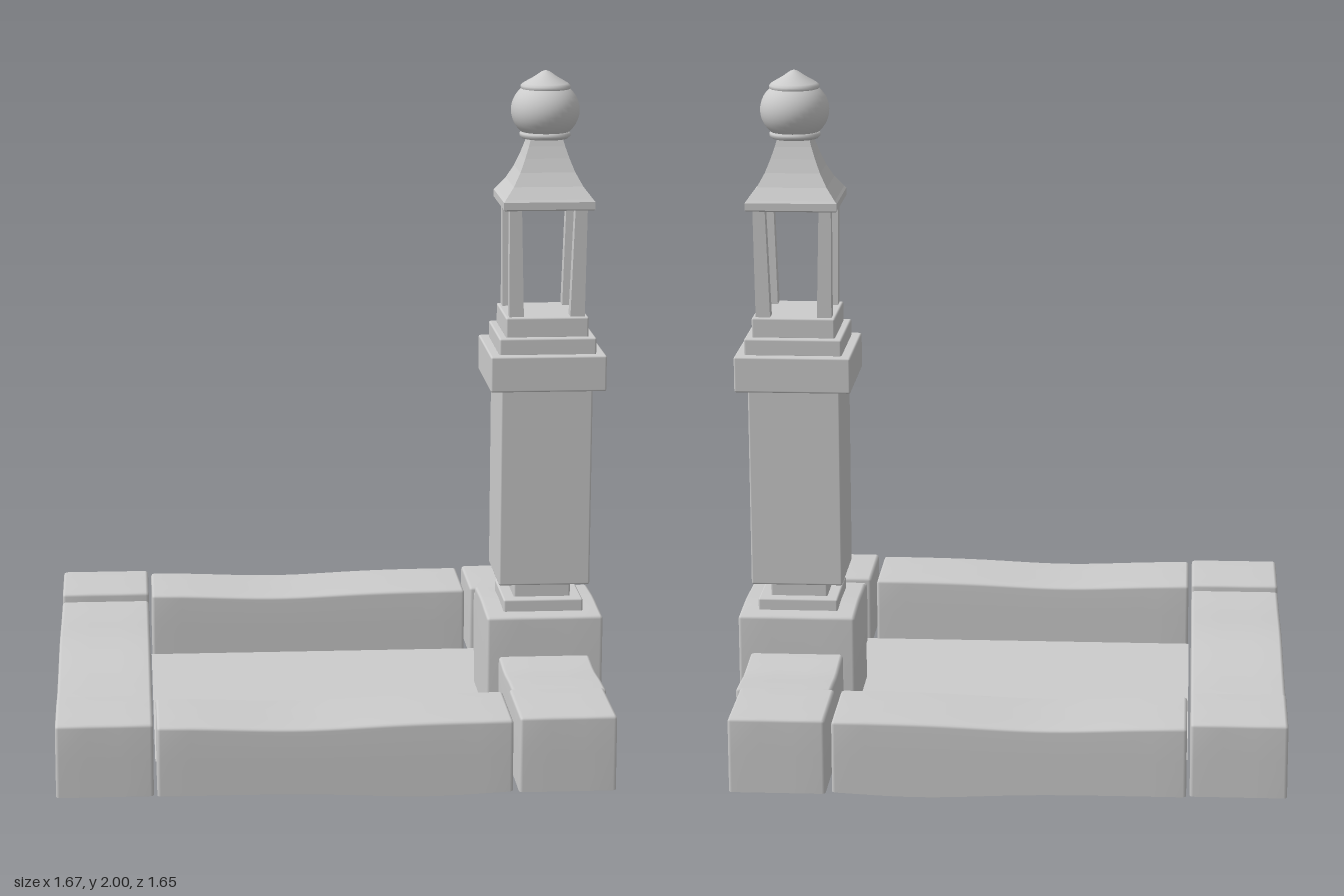
import * as THREE from 'three';
import { mergeVertices } from 'three/addons/utils/BufferGeometryUtils.js';
import { RoundedBoxGeometry } from 'three/addons/geometries/RoundedBoxGeometry.js';

const stoneMat = new THREE.MeshStandardMaterial({ color: 0xcccccc, side: THREE.DoubleSide });
const flatMat = new THREE.MeshStandardMaterial({ color: 0xcccccc, side: THREE.DoubleSide, flatShading: true });
const PX = 0.655, PZ = -0.022; // pillar axis

function add(parent, name, geometry, x = 0, y = 0, z = 0, material = stoneMat) {
  const mesh = new THREE.Mesh(geometry, material);
  mesh.name = name;
  mesh.position.set(x, y, z);
  parent.add(mesh);
  return mesh;
}

const bell = (t, centre, width) => Math.exp(-(((t - centre) / width) ** 2));

// Hollow kerb stone: open underneath, softened edges, top and bottom bent by rules of t (0..1 along its length)
function stone(parent, name, [x0, x1], [z0, z1], [y0, y1], top = () => 0, bottom = () => 0) {
  const size = [x1 - x0, y1 - y0, z1 - z0], r = 0.01;
  const seg = size.map((s, i) => (i === 1 ? 4 : Math.max(6, Math.round(s * 20))));
  const geo = new THREE.BoxGeometry(...size, ...seg);
  const skip = geo.groups[3]; // underside
  const index = Array.from(geo.index.array);
  index.splice(skip.start, skip.count);
  geo.setIndex(index);
  geo.clearGroups();
  const pos = geo.attributes.position, alongX = size[0] > size[2];
  const v = new THREE.Vector3(), inner = new THREE.Vector3();
  for (let i = 0; i < pos.count; i++) {
    v.fromBufferAttribute(pos, i);
    // slide the outer grid lines to the edge, then round the corners
    ['x', 'y', 'z'].forEach((a, k) => {
      const h = size[k] / 2, step = size[k] / seg[k];
      if (Math.abs(Math.abs(v[a]) - (h - step)) < 1e-5) v[a] = Math.sign(v[a]) * (h - r);
      inner[a] = THREE.MathUtils.clamp(v[a], a === 'y' ? -h : r - h, h - r);
    });
    v.sub(inner).setLength(r).add(inner);
    const t = alongX ? v.x / size[0] + 0.5 : v.z / size[2] + 0.5;
    const up = v.y / size[1] + 0.5;
    v.y += THREE.MathUtils.lerp(bottom(t), top(t), up);
    pos.setXYZ(i, v.x, v.y, v.z);
  }
  geo.deleteAttribute('uv');
  geo.deleteAttribute('normal');
  const smooth = mergeVertices(geo, 1e-4);
  smooth.computeVertexNormals();
  return add(parent, name, smooth, (x0 + x1) / 2, (y0 + y1) / 2, (z0 + z1) / 2);
}

function block(parent, name, width, y0, y1, r = 0.006) {
  return add(parent, name, new RoundedBoxGeometry(width, y1 - y0, width, 2, r), PX, (y0 + y1) / 2, PZ);
}

export function createModel() {
  const model = new THREE.Group();
  model.name = 'kerbedPlotWithLanternPillar';

  // Kerb
  const kerb = new THREE.Group();
  kerb.name = 'kerb';
  model.add(kerb);
  const left = [-0.835, -0.555], right = [0.498, 0.78], mid = [-0.545, 0.48];
  const back = [-0.825, -0.545], front = [0.54, 0.818];
  stone(kerb, 'cornerBackRight', left, [-0.818, -0.54], [0.02, 0.24]);
  stone(kerb, 'cornerFrontRight', left, [0.53, 0.812], [0.02, 0.235]);
  stone(kerb, 'cornerBackLeft', right, [-0.83, -0.555], [0.01, 0.235]);
  stone(kerb, 'cornerFrontLeft', right, front, [0.01, 0.235]);
  const sag = t => -0.014 * bell(t, 0.4, 0.25);
  const belly = t => -0.016 * bell(t, 0.76, 0.25);
  stone(kerb, 'frontKerb', mid, front, [0.02, 0.228], sag, belly);
  stone(kerb, 'backKerb', mid, back, [0.02, 0.23], sag, belly);
  stone(kerb, 'rightKerb', left, [-0.515, 0.512], [0.02, 0.222], t => 0.026 * bell(t, 0.5, 0.25));
  stone(kerb, 'leftKerbFront', [0.51, 0.79], [0.168, 0.532], [0.02, 0.225],
    t => -0.012 * bell(t, 0.35, 0.3));
  stone(kerb, 'leftKerbBack', [0.51, 0.795], [-0.545, -0.208], [0.02, 0.228],
    t => -0.012 * bell(t, 0.5, 0.3), t => -0.018 * bell(t, 0.8, 0.3));

  // Ground slab inside the kerb
  const slab = new THREE.PlaneGeometry(1.06, 1.08);
  slab.rotateX(-Math.PI / 2);
  add(model, 'groundSlab', slab, -0.018, 0.03, -0.005);

  // Pillar
  const pillar = new THREE.Group();
  pillar.name = 'pillar';
  model.add(pillar);
  stone(pillar, 'pillarBase', [0.475, 0.833], [PZ - 0.18, PZ + 0.18], [0.02, 0.34],
    t => 0.008 * bell(t, 0.45, 0.3));
  block(pillar, 'plinth', 0.245, 0.335, 0.38);
  block(pillar, 'neck', 0.175, 0.37, 0.44);
  block(pillar, 'shaft', 0.28, 0.43, 1.045);
  block(pillar, 'capital', 0.352, 1.045, 1.155);
  block(pillar, 'capitalStep', 0.295, 1.15, 1.205);
  block(pillar, 'lanternFloor', 0.252, 1.2, 1.265);

  // Lantern posts, slightly tapered and leaning out
  const lantern = new THREE.Group();
  lantern.name = 'lantern';
  model.add(lantern);
  for (const sx of [-1, 1]) for (const sz of [-1, 1]) {
    const geo = new THREE.CylinderGeometry(0.026, 0.031, 0.335, 4, 3);
    geo.rotateY(Math.PI / 4);
    const post = add(lantern, 'lanternPost', geo, PX + sx * 0.096, 1.428, PZ + sz * 0.096, flatMat);
    post.rotation.set(sz * 0.02, 0, -sx * 0.02);
  }

  // Flared square roof
  const roofProfile = [[0, 1.592], [0.134, 1.592], [0.138, 1.596], [0.138, 1.618], [0.132, 1.625],
    [0.105, 1.66], [0.083, 1.7], [0.067, 1.74], [0.055, 1.775], [0.048, 1.8], [0, 1.8]]
    .map(([w, y]) => new THREE.Vector2(w * Math.SQRT2, y));
  const roof = new THREE.LatheGeometry(roofProfile, 4);
  roof.rotateY(Math.PI / 4);
  add(lantern, 'lanternRoof', roof, PX, 0, PZ, flatMat);

  // Finial: foot ring, ball and pointed cap
  const lathe = (name, points) => add(lantern, name,
    new THREE.LatheGeometry(points.map(p => new THREE.Vector2(...p)), 32), PX, 0, PZ);
  lathe('finialRing', [[0, 1.795], [0.07, 1.795], [0.077, 1.802], [0.077, 1.81], [0.07, 1.818], [0, 1.818]]);
  const ball = new THREE.SphereGeometry(0.104, 32, 20);
  ball.scale(1, 0.88, 1);
  add(lantern, 'finialBall', ball, PX, 1.88, PZ);
  lathe('finialCap', [[0, 1.94], [0.07, 1.94], [0.075, 1.946], [0.075, 1.954], [0.068, 1.961],
    [0.035, 1.98], [0.012, 1.996], [0, 2]]);
  return model;
}
